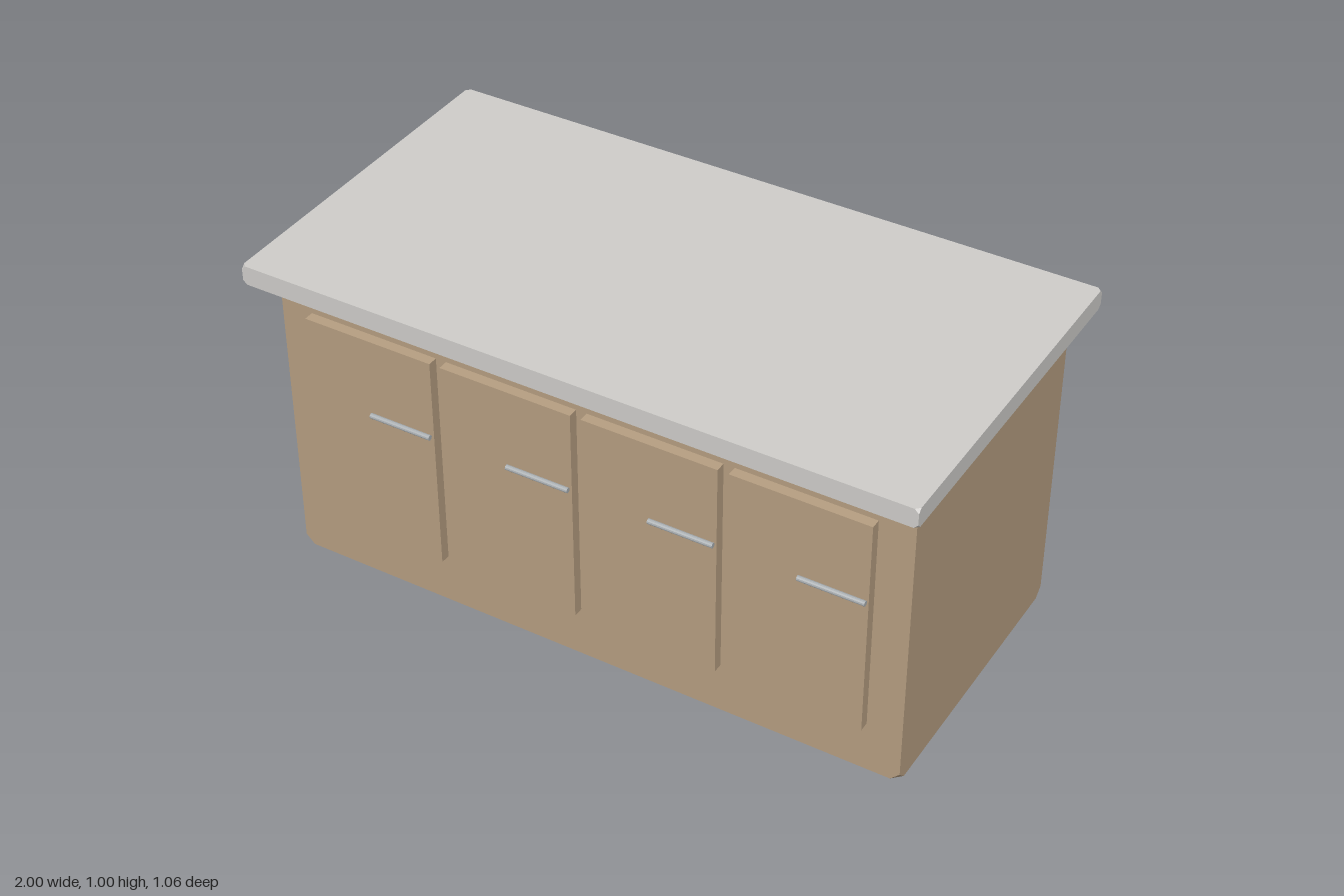
import * as THREE from 'three';
import { ConvexGeometry } from 'three/addons/geometries/ConvexGeometry.js';

const material = (color) => new THREE.MeshStandardMaterial({ color, flatShading: true });
const wood = material(0xb79f82);
const stone = material(0xd0cecb);
const steel = material(0xaaafb2);
const dark = material(0x666a6d);

// Box whose eight corners are cut off by a small triangle of leg c
function cutCornerBox(w, h, d, c) {
  const points = [];
  for (const x of [-1, 1]) for (const y of [-1, 1]) for (const z of [-1, 1]) {
    for (let axis = 0; axis < 3; axis++) {
      const p = new THREE.Vector3(x * w / 2, y * h / 2, z * d / 2);
      p.setComponent(axis, p.getComponent(axis) - [x, y, z][axis] * c);
      points.push(p);
    }
  }
  return new ConvexGeometry(points);
}

export function createModel() {
  const model = new THREE.Group();
  model.name = 'kitchenIsland';

  function add(name, geometry, mat, x, y, z) {
    const mesh = new THREE.Mesh(geometry, mat);
    mesh.name = name;
    mesh.position.set(x, y, z);
    model.add(mesh);
    return mesh;
  }

  // Cabinet body, floating worktop and the plinth under the body
  add('cabinetBody', cutCornerBox(1.91, 0.915, 0.872, 0.027), wood, 0, 0.4585, 0);
  add('worktop', cutCornerBox(2, 0.058, 1.064, 0.012), stone, 0, 0.971, 0);
  add('plinth', new THREE.BoxGeometry(1.85, 0.05, 0.83), dark, 0, 0.025, 0);

  // Four doors, each with a bar handle against its right-hand edge
  const doorWidth = 0.403;
  const doorGeometry = new THREE.BoxGeometry(doorWidth, 0.678, 0.03);
  const handleGeometry = new THREE.CylinderGeometry(0.008, 0.008, 0.192, 12).rotateZ(Math.PI / 2);
  for (let i = 0; i < 4; i++) {
    const x = -0.654 + i * 0.435;
    add('door' + (i + 1), doorGeometry, wood, x, 0.501, 0.452);
    add('doorHandle' + (i + 1), handleGeometry, steel, x + doorWidth / 2 - 0.096, 0.608, 0.485);
  }

  // Rail on the back
  add('backRail', cutCornerBox(0.874, 0.041, 0.046, 0.008), wood, 0, 0.4275, -0.455);

  return model;
}
